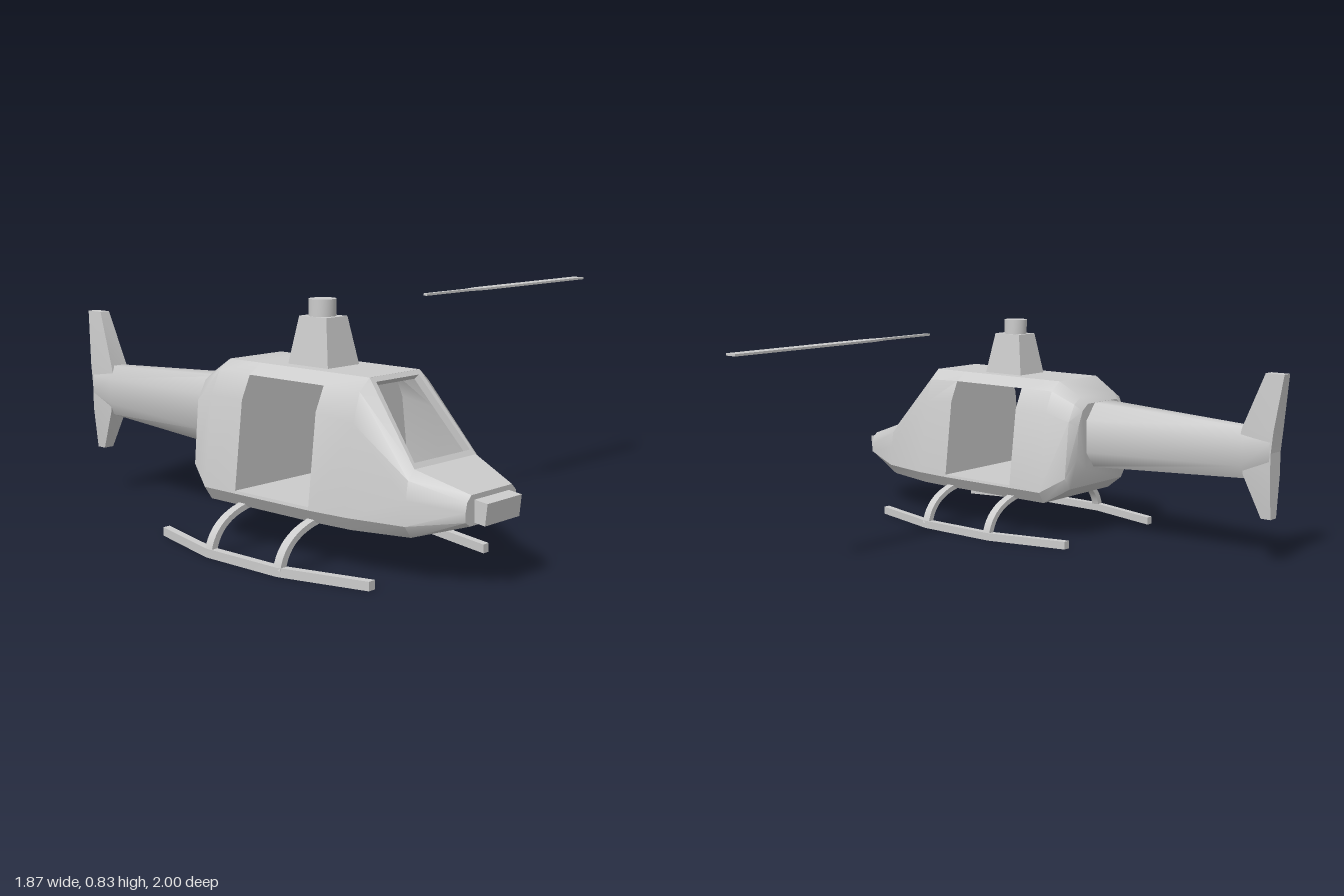
import * as THREE from 'three';
import { toCreasedNormals } from 'three/addons/utils/BufferGeometryUtils.js';

const material = new THREE.MeshStandardMaterial({ color: 0xcccccc, side: THREE.DoubleSide });

function add(parent, name, geometry, crease = 0.6) {
  const mesh = new THREE.Mesh(toCreasedNormals(geometry, crease), material);
  mesh.name = name;
  parent.add(mesh);
  return mesh;
}

// Closed loft through rings of [x, y, z], capped at both ends; skip(i, j) leaves a panel open
function loft(rings, skip = () => false) {
  const n = rings[0].length, pos = [];
  const tri = (a, b, c) => pos.push(...a, ...b, ...c);
  for (let i = 0; i < rings.length - 1; i++) {
    for (let j = 0; j < n; j++) {
      if (skip(i, j)) continue;
      const k = (j + 1) % n;
      const a = rings[i][j], b = rings[i][k], c = rings[i + 1][k], d = rings[i + 1][j];
      tri(a, b, d);
      tri(b, c, d);
    }
  }
  const first = rings[0], last = rings[rings.length - 1];
  for (let j = 1; j < n - 1; j++) {
    tri(first[0], first[j + 1], first[j]);
    tri(last[0], last[j], last[j + 1]);
  }
  const g = new THREE.BufferGeometry();
  g.setAttribute('position', new THREE.Float32BufferAttribute(pos, 3));
  return g;
}

// Mirrored cross-section from half points [x, y], listed from bottom to top
function section(z, half) {
  const right = half.map(([x, y]) => [x, y, z]);
  const left = half.map(([x, y]) => [-x, y, z]).reverse();
  return [...right, ...left];
}

// Horizontal rectangle spanning z0..z1
const slice = (y, w, z0, z1) => [[w, y, z1], [w, y, z0], [-w, y, z0], [-w, y, z1]];

const polygon = pts => new THREE.Shape(pts.map(p => new THREE.Vector2(...p)));
const extrude = (shape, depth) =>
  new THREE.ExtrudeGeometry(shape, { depth, bevelEnabled: false, curveSegments: 12 });

function buildCabin(parent) {
  const cabin = new THREE.Group();
  cabin.name = 'cabin';
  parent.add(cabin);
  const main = [[0.215, 0.145], [0.245, 0.19], [0.207, 0.5], [0.17, 0.58], [0.12, 0.615]];

  // Hollow nose with an open windscreen panel
  add(cabin, 'nose', loft([
    section(0.41, main),
    section(0.56, [[0.205, 0.145], [0.235, 0.19], [0.195, 0.48], [0.165, 0.575], [0.12, 0.615]]),
    section(0.77, [[0.165, 0.15], [0.195, 0.19], [0.19, 0.27], [0.18, 0.33], [0.15, 0.36]]),
    section(0.95, [[0.105, 0.205], [0.127, 0.22], [0.127, 0.25], [0.12, 0.28], [0.1, 0.3]]),
  ], (i, j) => i === 1 && j === 4));

  // Windscreen frame lying in the sloped opening
  const frame = polygon([[-0.15, 0], [0.15, 0], [0.12, 0.33], [-0.12, 0.33]]);
  frame.holes.push(polygon([[-0.135, 0.02], [-0.102, 0.312], [0.102, 0.312], [0.135, 0.02]]));
  const screen = add(cabin, 'windscreenFrame', extrude(frame, 0.025).translate(0, 0, -0.025));
  screen.position.set(0, 0.36, 0.77);
  screen.rotation.x = -Math.atan2(0.21, 0.255);

  // Rear cabin closing in towards the tail
  add(cabin, 'rearCabin', loft([
    section(-0.2, [[0.1, 0.28], [0.16, 0.33], [0.155, 0.45], [0.13, 0.51], [0.095, 0.535]]),
    section(-0.175, [[0.17, 0.205], [0.205, 0.25], [0.185, 0.47], [0.15, 0.535], [0.11, 0.56]]),
    section(-0.08, main),
    section(0.07, main),
  ]));

  // Roof and floor across the two open doorways
  const across = half => polygon(section(0, half).map(([x, y]) => [x, y]));
  add(cabin, 'doorwayRoof', extrude(across([[0.17, 0.58], [0.12, 0.615]]), 0.34)).position.z = 0.07;
  add(cabin, 'doorwayFloor',
    extrude(across([[0.215, 0.145], [0.245, 0.19], [0.243, 0.2]]), 0.34)).position.z = 0.07;

  // Small block on the nose tip
  const tip = add(cabin, 'noseLight', new THREE.BoxGeometry(0.17, 0.07, 0.08));
  tip.position.set(0, 0.248, 0.955);
  tip.rotation.x = 0.12;
}

function buildTail(parent) {
  const tail = new THREE.Group();
  tail.name = 'tail';
  parent.add(tail);
  const ring = (z, w, y0, y1) => {
    const h = y1 - y0;
    return section(z, [[w * 0.5, y0], [w, y0 + h * 0.25], [w, y0 + h * 0.75], [w * 0.5, y1]]);
  };
  add(tail, 'tailBoom', loft([
    ring(-0.96, 0.036, 0.355, 0.495),
    ring(-0.85, 0.045, 0.315, 0.505),
    ring(-0.19, 0.103, 0.28, 0.535),
  ]), 0.9);
  add(tail, 'upperFin', loft([
    slice(0.42, 0.036, -0.965, -0.83), slice(0.5, 0.036, -0.973, -0.845),
    slice(0.705, 0.02, -1, -0.925),
  ]));
  add(tail, 'lowerFin', loft([
    slice(0.175, 0.02, -0.965, -0.925), slice(0.33, 0.036, -0.965, -0.855),
    slice(0.43, 0.036, -0.965, -0.84),
  ]));
}

function buildSkid(parent, side) {
  const skid = new THREE.Group();
  skid.name = side > 0 ? 'leftSkid' : 'rightSkid';
  parent.add(skid);

  // Runner: straight in the middle, angled inward at both ends
  const path = [[0.28, -0.245], [0.362, 0.07], [0.362, 0.4], [0.28, 0.715]];
  add(skid, 'runner', loft(path.map(([x, z]) => [
    [side * x + 0.014, 0, z], [side * x + 0.014, 0.03, z],
    [side * x - 0.014, 0.03, z], [side * x - 0.014, 0, z],
  ])));

  // Arched struts
  const arc = new THREE.Shape();
  arc.moveTo(side * 0.375, 0.02);
  arc.bezierCurveTo(side * 0.36, 0.1, side * 0.29, 0.15, side * 0.17, 0.165);
  arc.lineTo(side * 0.17, 0.145);
  arc.bezierCurveTo(side * 0.28, 0.13, side * 0.335, 0.09, side * 0.35, 0.02);
  for (const z of [0.08, 0.4]) {
    add(skid, 'strut', extrude(arc, 0.032)).position.z = z - 0.016;
  }
}

export function createModel() {
  const model = new THREE.Group();
  model.name = 'helicopter';

  const body = new THREE.Group();
  body.name = 'airframe';
  body.position.x = -0.56;
  model.add(body);
  buildCabin(body);
  buildTail(body);
  for (const side of [-1, 1]) buildSkid(body, side);

  // Tapered mast housing and hub
  add(body, 'mastHousing', loft([
    slice(0.61, 0.075, 0.153, 0.337), slice(0.775, 0.05, 0.183, 0.307),
  ]));
  add(body, 'rotorHub', new THREE.CylinderGeometry(0.046, 0.046, 0.06, 24))
    .position.set(0, 0.802, 0.242);

  // Detached rotor blade with a narrow root
  const outline = polygon([
    [-0.035, -0.008], [0.21, -0.01], [0.28, -0.024], [0.93, -0.024],
    [0.93, 0.024], [0.28, 0.024], [0.21, 0.01], [-0.035, 0.008],
  ]);
  const blade = add(model, 'rotorBlade', extrude(outline, 0.008).rotateX(-Math.PI / 2));
  blade.position.set(0, 0.803, 0.24);
  return model;
}
